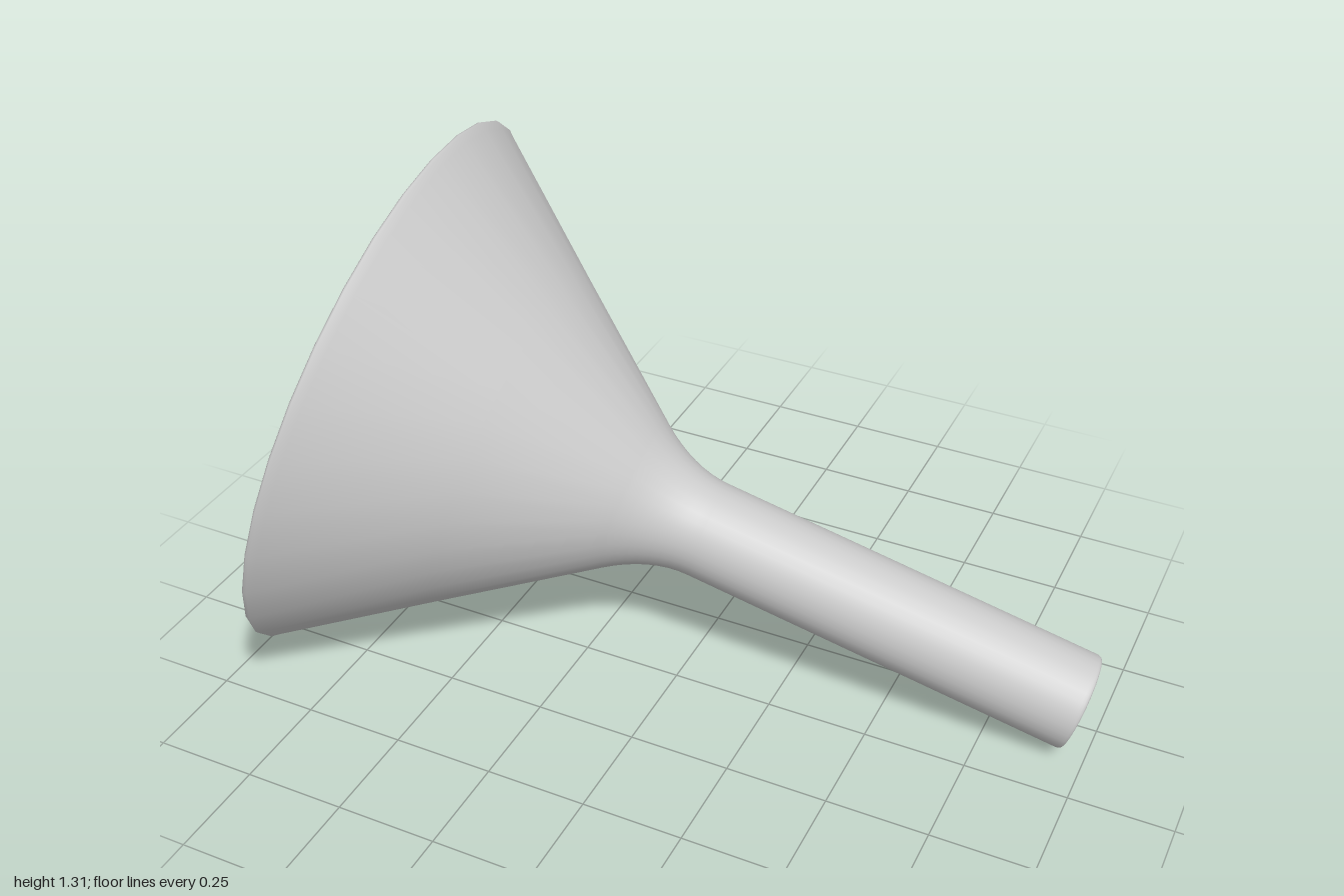
import * as THREE from 'three';

// Points of a quadratic bend between two straight runs; x = radius, y = distance from mouth
function bend(a, b, c, n = 8) {
  const v = (p) => new THREE.Vector2(p[0], p[1]);
  return new THREE.QuadraticBezierCurve(v(a), v(b), v(c)).getPoints(n);
}

export function createModel() {
  const group = new THREE.Group();
  group.name = 'funnel';
  const material = new THREE.MeshStandardMaterial({ color: 0xcccccc });

  const mouth = new THREE.Vector3(-0.787, 0.656, 0);
  const tip = new THREE.Vector3(0.963, 0.121, -0.195);
  const axis = tip.clone().sub(mouth);
  const length = axis.length();

  // Closed wall section: outer skin to the tip, then the bore back to the mouth
  const profile = [
    ...bend([0.668, 0], [0.688, -0.001], [0.684, 0.014], 4), // rounded rim
    ...bend([0.672, 0.028], [0.43, 0.35], [0.196, 0.67], 2), // cone
    ...bend([0.192, 0.675], [0.12, 0.774], [0.12, 0.87]), // neck fillet
    ...bend([0.12, length - 0.015], [0.12, length], [0.11, length], 4), // tip edge
    ...bend([0.108, length], [0.098, length], [0.098, length - 0.015], 4),
    ...bend([0.098, 0.86], [0.098, 0.764], [0.17, 0.667]), // inner neck
    new THREE.Vector2(0.41, 0.342), // inner cone
    new THREE.Vector2(0.655, 0.01),
    new THREE.Vector2(0.668, 0),
  ];

  const body = new THREE.Mesh(new THREE.LatheGeometry(profile, 32), material);
  body.name = 'funnelBody';
  body.position.copy(mouth);
  body.quaternion.setFromUnitVectors(new THREE.Vector3(0, 1, 0), axis.normalize());
  group.add(body);
  return group;
}
